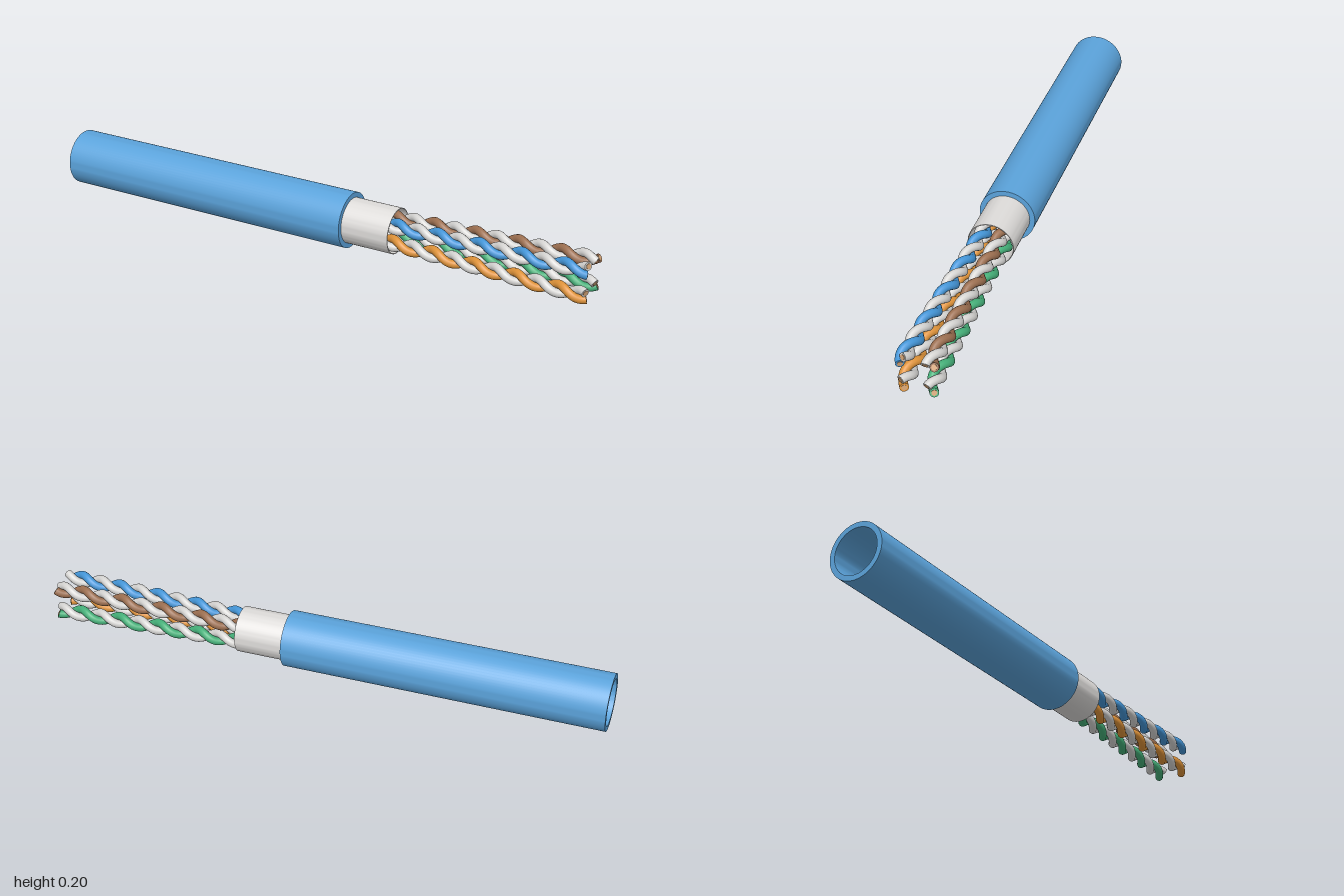
import * as THREE from 'three';
import { toCreasedNormals } from 'three/addons/utils/BufferGeometryUtils.js';

const AXIS_Y = 0.098;

function material(name, color, side = THREE.FrontSide) {
  const m = new THREE.MeshStandardMaterial({ color, side });
  m.name = name;
  return m;
}

function mesh(name, geometry, mat) {
  const m = new THREE.Mesh(geometry, mat);
  m.name = name;
  return m;
}

// Hollow sleeve along x, with flat annular ends
function sleeve(name, x0, x1, inner, outer, mat) {
  const profile = [[inner, x0], [outer, x0], [outer, x1], [inner, x1], [inner, x0]]
    .map(([r, x]) => new THREE.Vector2(r, x));
  const geo = toCreasedNormals(new THREE.LatheGeometry(profile, 64), 0.6);
  geo.rotateZ(-Math.PI / 2);
  const m = mesh(name, geo, mat);
  m.position.y = AXIS_Y;
  return m;
}

// One strand of a twisted pair, its pair axis fanning out toward the free end
class StrandCurve extends THREE.Curve {
  constructor(sy, sz, endAngle) {
    super();
    Object.assign(this, { sy, sz, endAngle });
  }
  getPoint(t, target = new THREE.Vector3()) {
    const x = THREE.MathUtils.lerp(-0.1, 0.991, t);
    const spread = THREE.MathUtils.lerp(0.024, 0.045, t);
    const a = this.endAngle + (x - 0.991) * Math.PI * 2 / 0.15;
    return target.set(
      x,
      AXIS_Y + this.sy * spread + 0.0145 * Math.cos(a),
      this.sz * spread + 0.0145 * Math.sin(a)
    );
  }
}

function strand(name, curve, mat, copper) {
  const group = new THREE.Group();
  group.name = name;
  const radius = 0.0145;
  group.add(mesh('insulation', new THREE.TubeGeometry(curve, 150, radius, 14, false), mat));

  // Cut faces with the copper core just showing
  for (const t of [0, 1]) {
    const end = new THREE.Group();
    end.name = t ? 'freeEnd' : 'innerEnd';
    const dir = curve.getTangent(t).multiplyScalar(t ? 1 : -1);
    end.position.copy(curve.getPoint(t));
    end.quaternion.setFromUnitVectors(new THREE.Vector3(0, 0, 1), dir);
    end.add(mesh('cutFace', new THREE.CircleGeometry(radius, 14), mat));
    const core = new THREE.CylinderGeometry(0.009, 0.009, 0.004, 16);
    core.rotateX(Math.PI / 2);
    end.add(mesh('copperCore', core, copper));
    group.add(end);
  }
  return group;
}

export function createModel() {
  const model = new THREE.Group();
  model.name = 'twistedPairCable';

  const jacketBlue = material('jacketBlue', 0x5ba3db);
  const foilGrey = material('foilGrey', 0xdedcda);
  const wireWhite = material('wireWhite', 0xd6d5d3);
  const copper = material('copper', 0xd2a274);

  // Outer jacket and inner shield
  model.add(sleeve('jacket', -1, 0.125, 0.08, 0.098, jacketBlue));
  model.add(sleeve('shield', 0, 0.3, 0.0775, 0.08, foilGrey));

  // Four twisted pairs: name, colour, y side, z side, end angle in degrees
  const pairs = [
    ['blue', 0x4496d8, 1, 1, 160],
    ['brown', 0x9c6f50, 1, -1, 270],
    ['orange', 0xde9238, -1, 1, 202],
    ['green', 0x45b079, -1, -1, 232],
  ];
  for (const [name, color, sy, sz, degrees] of pairs) {
    const pair = new THREE.Group();
    pair.name = name + 'Pair';
    const angle = THREE.MathUtils.degToRad(degrees);
    const mat = material('wire' + name[0].toUpperCase() + name.slice(1), color);
    pair.add(strand(name + 'Wire', new StrandCurve(sy, sz, angle), mat, copper));
    pair.add(strand('whiteWire', new StrandCurve(sy, sz, angle + Math.PI), wireWhite, copper));
    model.add(pair);
  }
  return model;
}
